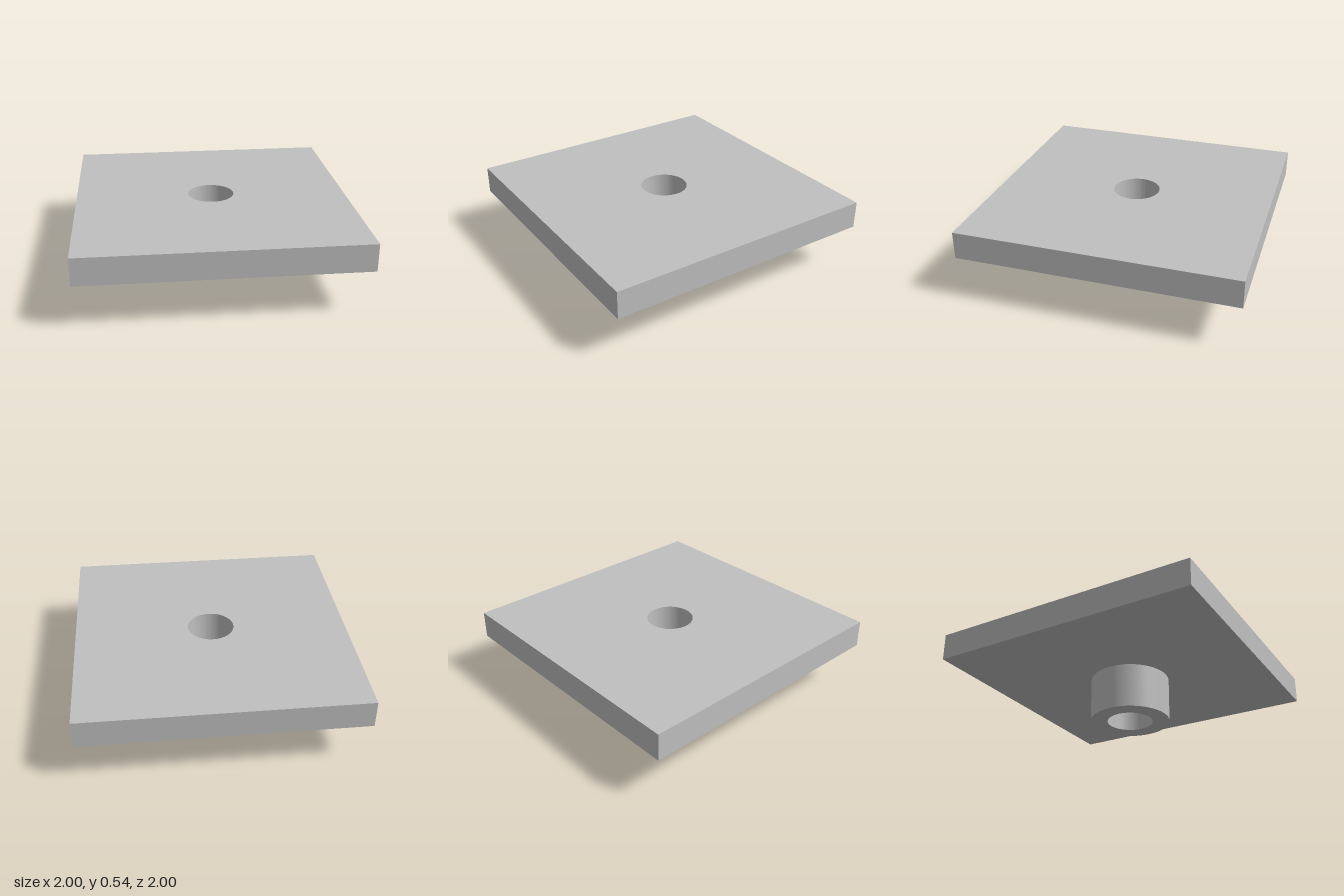
import * as THREE from 'three';
import { toCreasedNormals } from 'three/addons/utils/BufferGeometryUtils.js';

const BORE = 0.17;
const COLLAR_RADIUS = 0.297;
const COLLAR_HEIGHT = 0.335;
const PLATE_THICKNESS = 0.2;

export function createModel() {
  const group = new THREE.Group();
  group.name = 'flangedBushing';
  const grey = new THREE.MeshStandardMaterial({ color: 0xc0c0c0 });
  grey.name = 'light grey';

  // Extrudes an outline upwards from a base height, with the round bore cut through it
  function addBored(name, outline, baseY, height) {
    outline.holes.push(new THREE.Path().absarc(0, 0, BORE, 0, Math.PI * 2, true));
    const extruded = new THREE.ExtrudeGeometry(outline, {
      depth: height, bevelEnabled: false, curveSegments: 64,
    });
    extruded.rotateX(-Math.PI / 2).translate(0, baseY, 0);
    const mesh = new THREE.Mesh(toCreasedNormals(extruded, Math.PI / 6), grey);
    mesh.name = name;
    group.add(mesh);
  }

  // Round collar under the plate
  const circle = new THREE.Shape().absarc(0, 0, COLLAR_RADIUS, 0, Math.PI * 2, false);
  addBored('collar', circle, 0, COLLAR_HEIGHT);

  // Square plate on top
  const square = new THREE.Shape([
    new THREE.Vector2(-1, -1), new THREE.Vector2(1, -1),
    new THREE.Vector2(1, 1), new THREE.Vector2(-1, 1),
  ]);
  addBored('plate', square, COLLAR_HEIGHT, PLATE_THICKNESS);

  return group;
}
